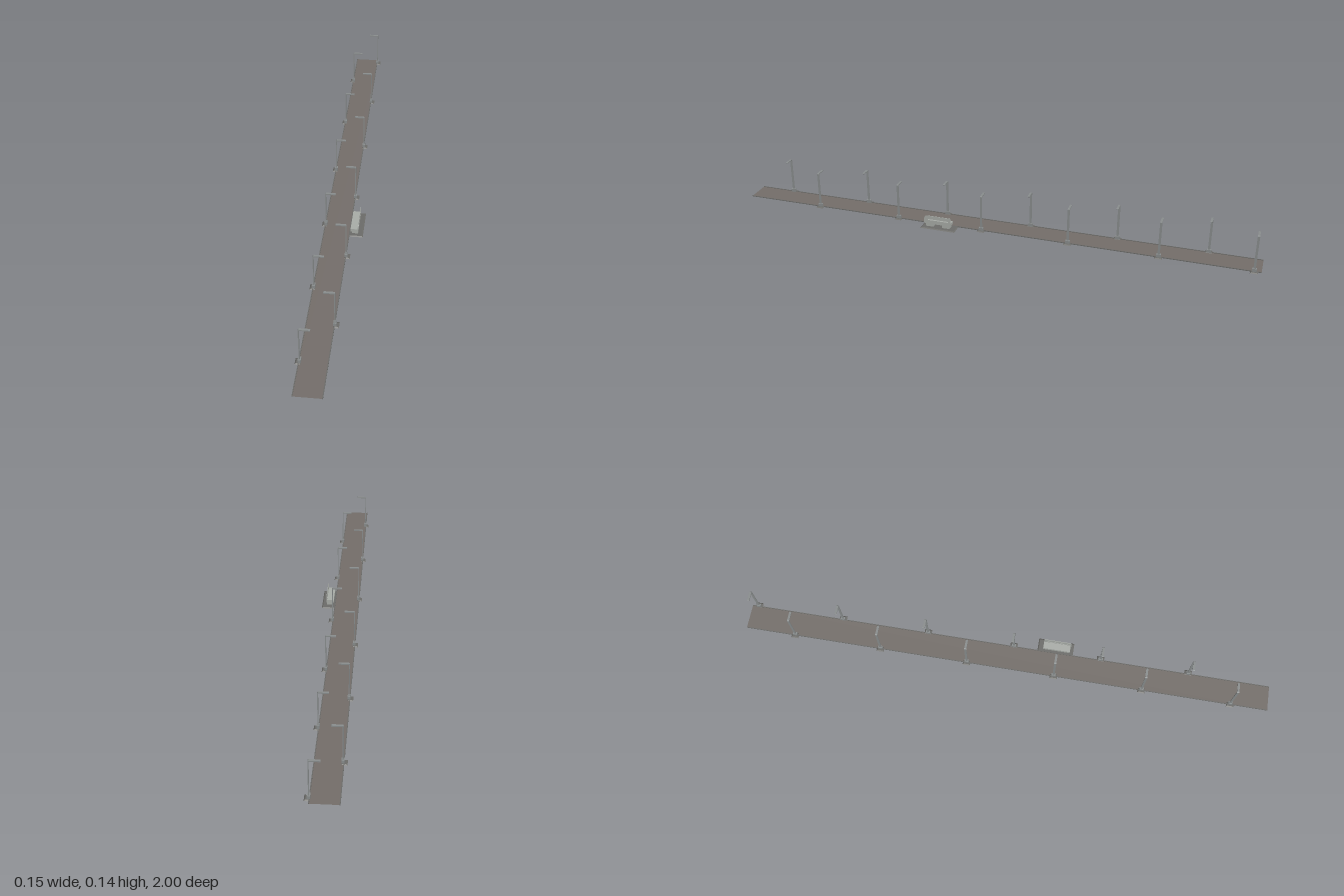
import * as THREE from 'three';

const mat = (name, color, side = THREE.FrontSide) => {
  const m = new THREE.MeshStandardMaterial({ color, side });
  m.name = name;
  return m;
};

export function createModel() {
  const asphalt = mat('asphalt', 0x746e6a, THREE.DoubleSide);
  const concrete = mat('concrete', 0x6c6c69);
  const steel = mat('steel', 0x8a8e8e);
  const paleMetal = mat('paleMetal', 0xa9ada8);
  const model = new THREE.Group();

  const add = (parent, name, geo, material, x = 0, y = 0, z = 0) => {
    const mesh = new THREE.Mesh(geo, material);
    mesh.name = name;
    mesh.position.set(x, y, z);
    parent.add(mesh);
    return mesh;
  };
  const box = (parent, name, material, x0, x1, y0, y1, z0, z1) =>
    add(parent, name, new THREE.BoxGeometry(x1 - x0, y1 - y0, z1 - z0), material,
      (x0 + x1) / 2, (y0 + y1) / 2, (z0 + z1) / 2);

  // Slab standing on the ground whose top edges are drawn in
  const taperedSlab = (w, h, d, inset) => {
    const geo = new THREE.BoxGeometry(w, h, d).toNonIndexed();
    const p = geo.attributes.position;
    for (let i = 0; i < p.count; i++) {
      if (p.getY(i) > 0) {
        p.setX(i, p.getX(i) - Math.sign(p.getX(i)) * inset);
        p.setZ(i, p.getZ(i) - Math.sign(p.getZ(i)) * inset);
      }
    }
    geo.translate(0, h / 2, 0);
    geo.computeVertexNormals();
    return geo;
  };

  // Road sheet with a low kerb along each side
  const road = add(model, 'road', new THREE.PlaneGeometry(0.094, 2), asphalt, -0.0195, 0.001, 0);
  road.rotation.x = -Math.PI / 2;
  box(model, 'kerb', concrete, -0.067, -0.064, 0, 0.003, -1, 1);
  box(model, 'kerb', concrete, 0.025, 0.028, 0, 0.003, -1, 1);

  // Street lamp cut from flat bar: post, rounded bend and thicker head, arm towards local +x
  const bar = new THREE.Shape();
  bar.moveTo(-0.0015, 0.003);
  bar.lineTo(0.0015, 0.003);
  bar.lineTo(0.0015, 0.137);
  bar.quadraticCurveTo(0.0015, 0.139, 0.004, 0.139);
  bar.lineTo(0.034, 0.139);
  bar.quadraticCurveTo(0.0365, 0.139, 0.0365, 0.141);
  bar.quadraticCurveTo(0.0365, 0.143, 0.034, 0.143);
  bar.lineTo(0.003, 0.143);
  bar.quadraticCurveTo(-0.0015, 0.143, -0.0015, 0.139);
  bar.closePath();
  const barDepth = 0.008;
  const barGeo = new THREE.ExtrudeGeometry(bar, { depth: barDepth, bevelEnabled: false, curveSegments: 4 });
  barGeo.translate(0, 0, -barDepth / 2);
  const footGeo = taperedSlab(0.02, 0.003, 0.028, 0.004).translate(-0.004, 0, 0);
  const socketGeo = new THREE.BoxGeometry(0.01, 0.011, 0.016).translate(0, 0.0085, 0);

  for (let i = 0; i < 12; i++) {
    const lamp = new THREE.Group();
    lamp.name = 'streetLamp';
    add(lamp, 'lampFoot', footGeo, concrete);
    add(lamp, 'lampSocket', socketGeo, steel);
    add(lamp, 'lampPost', barGeo, steel);
    const onRight = i % 2 === 1;
    lamp.position.set(onRight ? 0.028 : -0.063, 0, 0.86 - i * 0.1668);
    if (onRight) lamp.rotation.y = Math.PI;
    model.add(lamp);
  }

  // Roadside bench on its slab
  const bench = new THREE.Group();
  bench.name = 'bench';
  model.add(bench);
  add(bench, 'benchSlab', taperedSlab(0.052, 0.003, 0.136, 0.004), concrete, 0.05, 0, 0.185);
  for (const z of [0.142, 0.206]) box(bench, 'benchSupport', paleMetal, 0.035, 0.058, 0.003, 0.015, z, z + 0.03);
  box(bench, 'seat', paleMetal, 0.031, 0.059, 0.014, 0.025, 0.138, 0.24);

  // Backrest with one rounded end and a long slot; drawn with shape x along -z
  const back = new THREE.Shape();
  back.moveTo(-0.243, 0.015);
  back.lineTo(-0.138, 0.015);
  back.lineTo(-0.138, 0.047);
  back.lineTo(-0.227, 0.047);
  back.quadraticCurveTo(-0.243, 0.047, -0.243, 0.031);
  back.closePath();
  const slot = new THREE.Path();
  slot.moveTo(-0.228, 0.029);
  slot.lineTo(-0.228, 0.033);
  slot.lineTo(-0.146, 0.033);
  slot.lineTo(-0.146, 0.029);
  slot.closePath();
  back.holes.push(slot);
  const backGeo = new THREE.ExtrudeGeometry(back, { depth: 0.002, bevelEnabled: false, curveSegments: 8 });
  backGeo.rotateY(Math.PI / 2);
  add(bench, 'backrest', backGeo, paleMetal, 0.057, 0, 0);

  return model;
}
